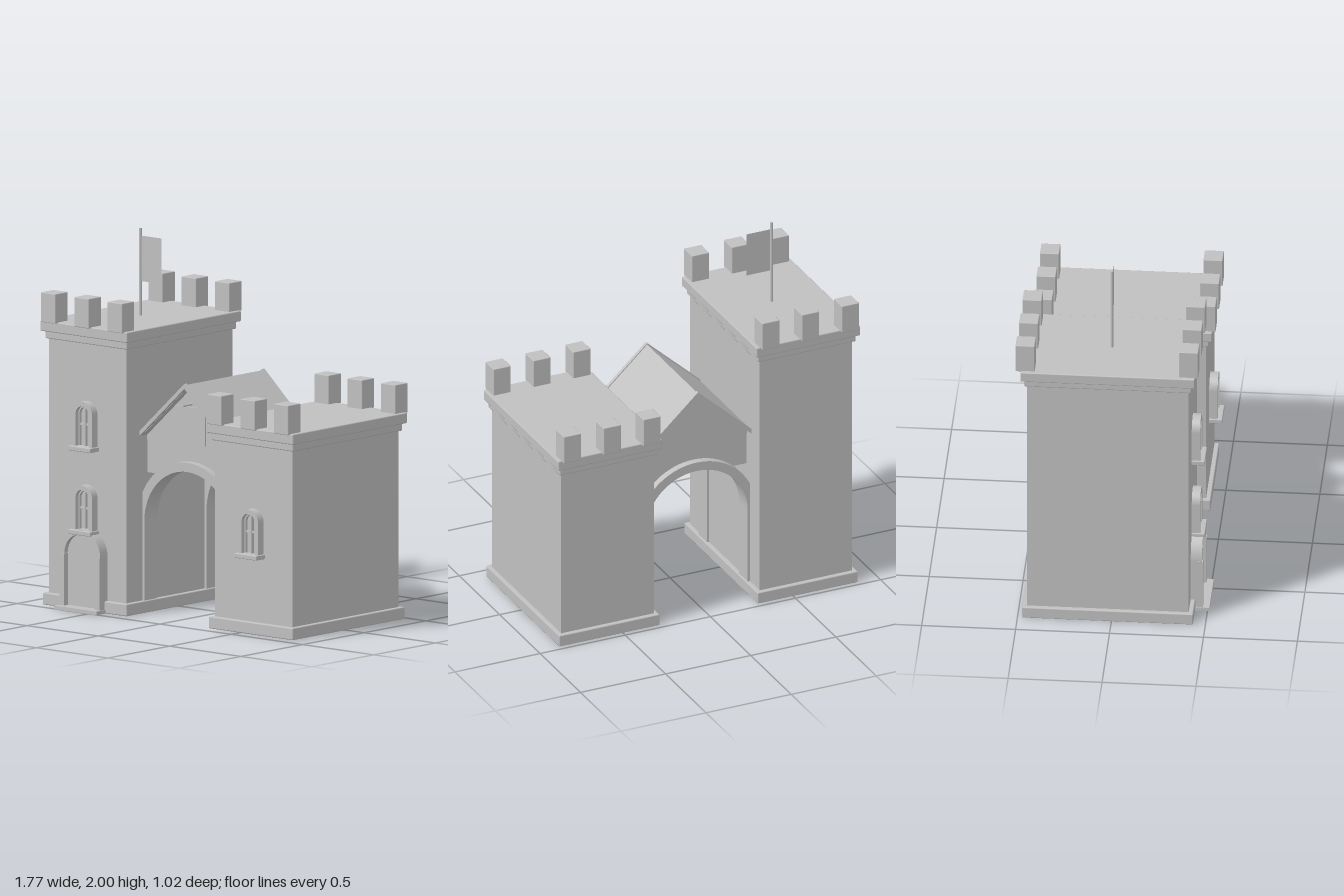
import * as THREE from 'three';
import { RoundedBoxGeometry } from 'three/addons/geometries/RoundedBoxGeometry.js';

const stone = new THREE.MeshStandardMaterial({ color: 0xc0c0c0 });
stone.name = 'stone grey';
stone.side = THREE.DoubleSide;

const MID_Z = -0.02;

function add(parent, name, geometry) {
  const mesh = new THREE.Mesh(geometry, stone);
  mesh.name = name;
  parent.add(mesh);
  return mesh;
}

// Box given by its limits; a positive bevel softens its edges
function box(parent, name, [x0, x1], [y0, y1], [z0, z1], bevel = 0) {
  const size = [x1 - x0, y1 - y0, z1 - z0];
  const geometry = bevel ? new RoundedBoxGeometry(...size, 1, bevel) : new THREE.BoxGeometry(...size);
  geometry.translate((x0 + x1) / 2, (y0 + y1) / 2, (z0 + z1) / 2);
  return add(parent, name, geometry);
}

function extrude(parent, name, shape, z0, z1) {
  const geometry = new THREE.ExtrudeGeometry(shape, { depth: z1 - z0, bevelEnabled: false, curveSegments: 24 });
  geometry.translate(0, 0, z0);
  return add(parent, name, geometry);
}

// Round-headed band, open at the foot
function archBand(x, y0, spring, outer, inner) {
  const s = new THREE.Shape();
  s.moveTo(x + outer, y0);
  s.lineTo(x + outer, spring);
  s.absarc(x, spring, outer, 0, Math.PI, false);
  s.lineTo(x - outer, y0);
  s.lineTo(x - inner, y0);
  s.lineTo(x - inner, spring);
  s.absarc(x, spring, inner, Math.PI, 0, true);
  s.lineTo(x + inner, y0);
  s.closePath();
  return s;
}

// Solid round-headed panel
function archPanel(x, y0, spring, r) {
  const s = new THREE.Shape();
  s.moveTo(x + r, y0);
  s.lineTo(x + r, spring);
  s.absarc(x, spring, r, 0, Math.PI, false);
  s.lineTo(x - r, y0);
  s.closePath();
  return s;
}

// Tower with plinth, stepped cornice and two rows of merlons
function tower(name, x, top) {
  const g = new THREE.Group();
  g.name = name;
  const slab = (part, hx, y, hz, bevel) =>
    box(g, part, [x - hx, x + hx], y, [MID_Z - hz, MID_Z + hz], bevel);
  slab('towerBody', 0.272, [0.03, top - 0.08], 0.43);
  slab('plinth', 0.295, [0, 0.065], 0.455, 0.006);
  slab('lowerCornice', 0.287, [top - 0.097, top - 0.055], 0.445, 0.006);
  slab('upperCornice', 0.305, [top - 0.057, top], 0.464, 0.006);
  for (const dx of [-0.234, 0, 0.234]) {
    for (const z of [0.41, -0.46]) {
      box(g, 'merlon', [x + dx - 0.051, x + dx + 0.051], [top - 0.005, top + 0.155], [z - 0.051, z + 0.051], 0.004);
    }
  }
  return g;
}

function archedWindow(x, y) {
  const g = new THREE.Group();
  g.name = 'window';
  const spring = y + 0.195;
  box(g, 'windowSill', [x - 0.078, x + 0.078], [y, y + 0.025], [0.4, 0.48], 0.004);
  extrude(g, 'windowSurround', archBand(x, y + 0.025, spring, 0.07, 0.046), 0.4, 0.455);
  extrude(g, 'windowFrame', archBand(x, y + 0.025, spring, 0.048, 0.038), 0.4, 0.432);
  extrude(g, 'windowPane', archPanel(x, y + 0.025, spring, 0.046), 0.405, 0.415);
  box(g, 'mullion', [x - 0.005, x + 0.005], [y + 0.025, y + 0.235], [0.41, 0.432]);
  box(g, 'crossBar', [x - 0.04, x + 0.04], [y + 0.135, y + 0.145], [0.41, 0.43]);
  return g;
}

function doorway(x) {
  const g = new THREE.Group();
  g.name = 'doorway';
  box(g, 'doorStep', [x - 0.148, x + 0.148], [0, 0.02], [0.4, 0.51]);
  extrude(g, 'doorPanel', archPanel(x, 0.02, 0.3, 0.112), 0.4, 0.442);
  extrude(g, 'doorArch', archBand(x, 0.3, 0.3, 0.14, 0.112), 0.4, 0.47);
  for (const s of [-1, 1]) {
    const xs = [x + s * 0.141, x + s * 0.109].sort((a, b) => a - b);
    box(g, 'doorJamb', xs, [0.02, 0.3], [0.4, 0.475]);
  }
  return g;
}

// Gatehouse span between the towers
function gateway() {
  const g = new THREE.Group();
  g.name = 'gateway';
  const w = 0.32;

  // Wall with the arch cut out of its underside
  const cut = 0.31, spring = 0.49;
  const a = Math.asin((0.75 - spring) / cut);
  const wall = new THREE.Shape();
  wall.moveTo(w, 0.75);
  wall.lineTo(w, 0.93);
  wall.lineTo(-w, 0.93);
  wall.lineTo(-w, 0.75);
  wall.absarc(0, spring, cut, Math.PI - a, a, true);
  wall.closePath();
  extrude(g, 'gateWall', wall, -0.29, 0.24);

  // Front and back stone arches
  for (const z of [0.175, -0.33]) {
    extrude(g, 'gateArch', archBand(0, 0, spring, 0.35, 0.3), z, z + 0.105);
  }

  // Gable block
  const gable = new THREE.Shape();
  gable.moveTo(-w, 0.925);
  gable.lineTo(w, 0.925);
  gable.lineTo(w, 0.955);
  gable.lineTo(0, 1.245);
  gable.lineTo(-w, 0.955);
  gable.closePath();
  extrude(g, 'gable', gable, -0.292, 0.242);

  // Roof slopes and the raised boards at both ends
  const chevron = (low, high) => {
    const drop = 0.915 * w;
    const s = new THREE.Shape();
    s.moveTo(0, high);
    s.lineTo(-w, high - drop);
    s.lineTo(-w, low - drop);
    s.lineTo(0, low);
    s.lineTo(w, low - drop);
    s.lineTo(w, high - drop);
    s.closePath();
    return s;
  };
  extrude(g, 'roof', chevron(1.238, 1.26), -0.33, 0.285);
  extrude(g, 'frontBargeBoard', chevron(1.24, 1.267), 0.282, 0.303);
  extrude(g, 'backBargeBoard', chevron(1.24, 1.267), -0.348, -0.327);

  // Loft hatch and its hoist peg
  box(g, 'loftHatch', [-0.1, 0.1], [0.935, 1.135], [0.23, 0.25]);
  const peg = add(g, 'hoistPeg', new THREE.CylinderGeometry(0.006, 0.006, 0.085, 8));
  peg.rotation.x = Math.PI / 2;
  peg.position.set(0, 1.15, 0.273);
  return g;
}

function banner() {
  const g = new THREE.Group();
  g.name = 'banner';
  add(g, 'flagPole', new THREE.CylinderGeometry(0.0075, 0.0075, 0.48, 12)).position.set(-0.587, 1.76, MID_Z);
  add(g, 'flag', new THREE.PlaneGeometry(0.155, 0.245)).position.set(-0.517, 1.8375, MID_Z);
  return g;
}

export function createModel() {
  const model = new THREE.Group();
  model.name = 'castleGatehouse';
  model.add(
    tower('tallTower', -0.585, 1.53),
    tower('shortTower', 0.58, 1.11),
    archedWindow(-0.585, 0.86),
    archedWindow(-0.585, 0.41),
    archedWindow(0.58, 0.41),
    doorway(-0.585),
    gateway(),
    banner(),
  );
  return model;
}
